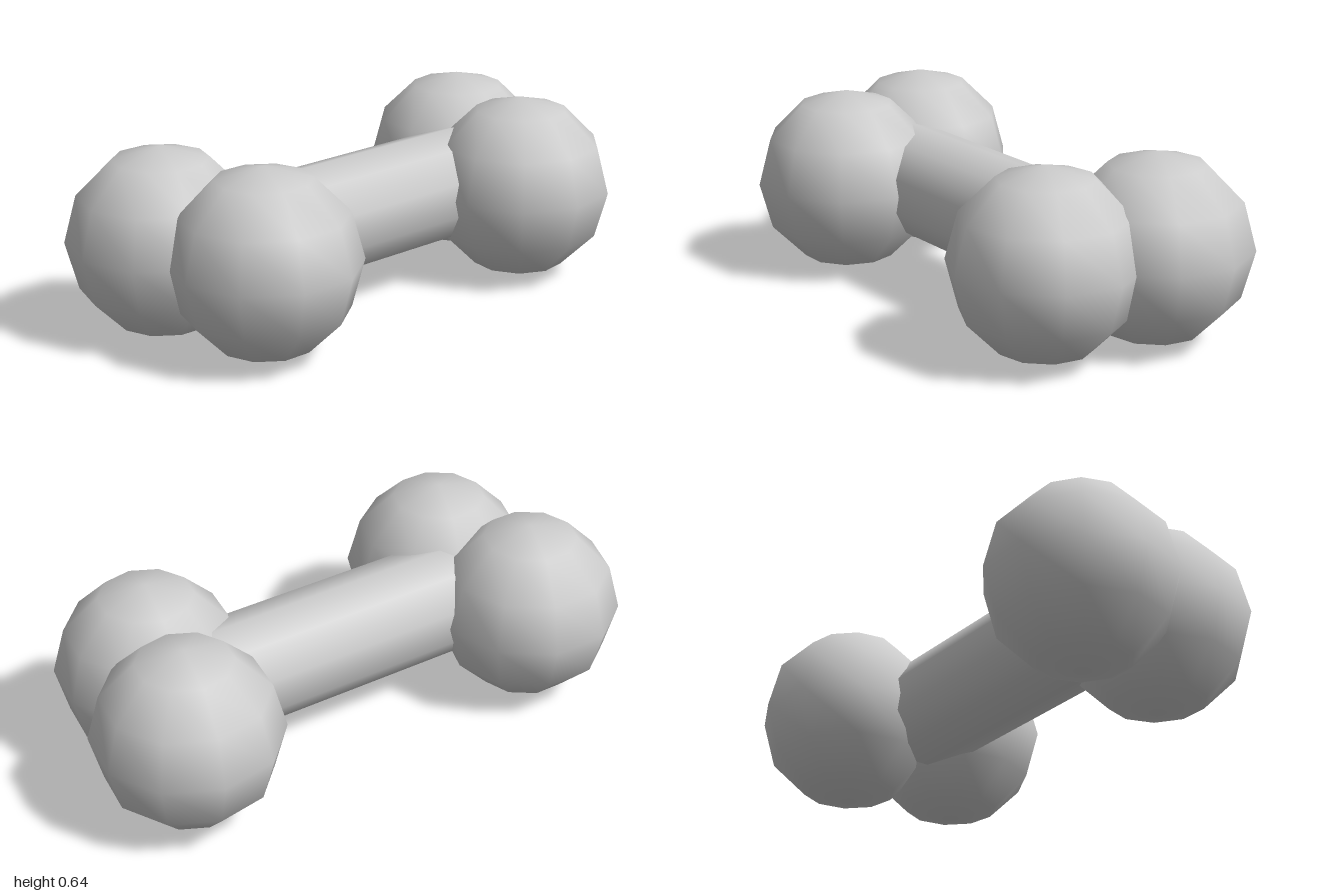
import * as THREE from 'three';

export function createModel() {
  const group = new THREE.Group();
  const grey = new THREE.MeshStandardMaterial({ color: 0xcccccc });
  grey.name = 'light grey';

  const radius = 0.322; // knob radius, also the height of the shaft axis

  // Shaft: ten-sided, running front to back, with an edge on top
  const shaft = new THREE.Mesh(
    new THREE.CylinderGeometry(0.195, 0.195, 1.12, 10).rotateX(Math.PI / 2),
    grey
  );
  shaft.name = 'shaft';
  shaft.position.y = radius;
  group.add(shaft);

  // Knobs: two overlapping round ends at each end of the shaft
  const knobGeometry = new THREE.SphereGeometry(radius, 10, 6).rotateY(Math.PI / 2);
  const knobs = [
    ['frontRightKnob', -0.195, 0.675, 0],
    ['frontLeftKnob', 0.195, 0.565, 0],
    ['backRightKnob', -0.195, -0.683, 10],
    ['backLeftKnob', 0.195, -0.61, 10],
  ];
  for (const [name, x, z, turn] of knobs) {
    const knob = new THREE.Mesh(knobGeometry, grey);
    knob.name = name;
    knob.position.set(x, radius, z);
    knob.rotation.y = THREE.MathUtils.degToRad(turn);
    group.add(knob);
  }
  return group;
}
